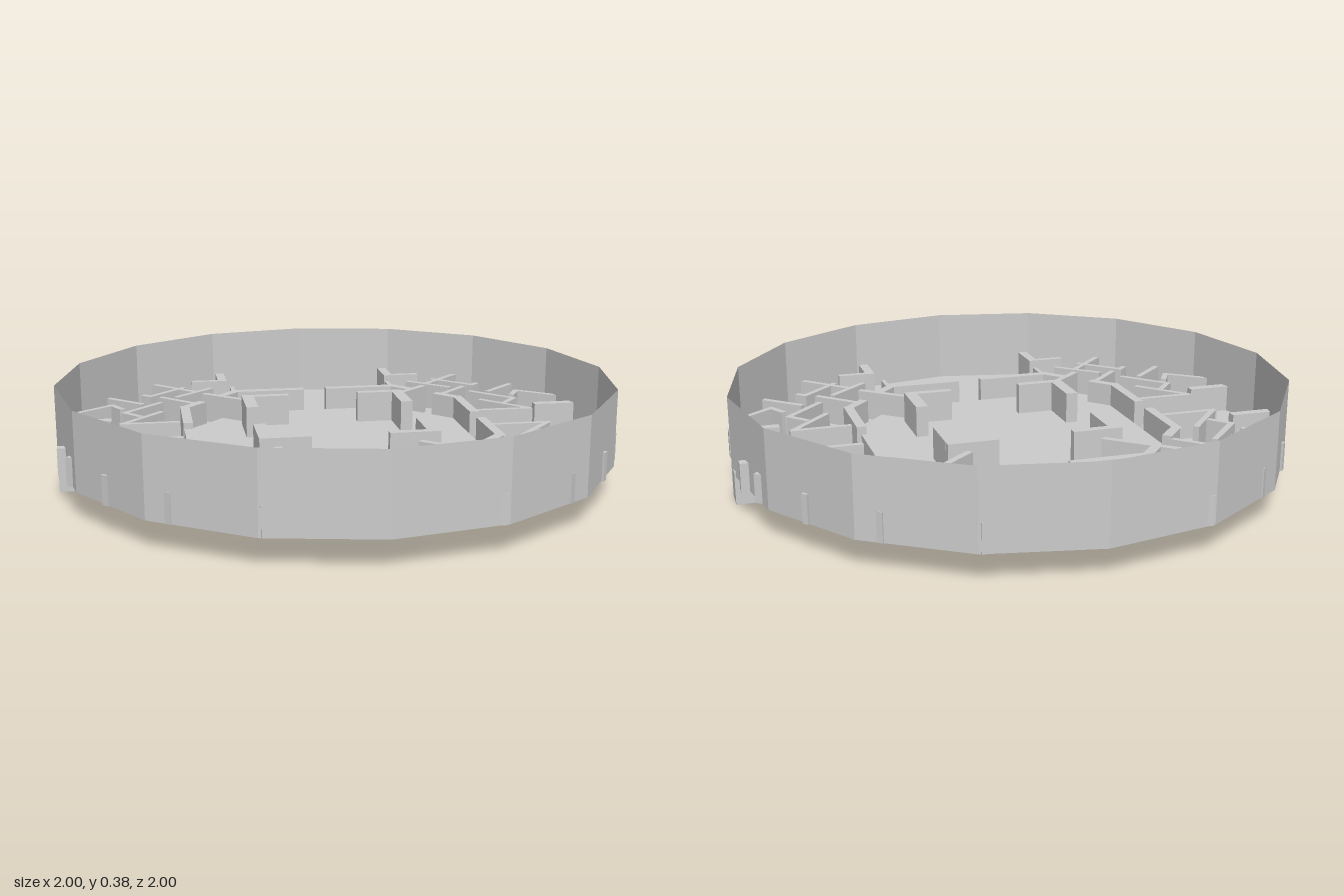
import * as THREE from 'three';

const material = new THREE.MeshStandardMaterial({ color: 0xcccccc, flatShading: true, side: THREE.DoubleSide });
const FLOOR = 0.1, INNER = 0.125, RIM = 0.375;

function add(parent, name, geometry) {
  const mesh = new THREE.Mesh(geometry, material);
  mesh.name = name;
  parent.add(mesh);
  return mesh;
}

// Upright walls along a plan path of [x, z] points
function wall(parent, name, points, thick, y0, y1) {
  for (let i = 0; i < points.length - 1; i++) {
    const [ax, az] = points[i], [bx, bz] = points[i + 1];
    const extra = i < points.length - 2 ? thick / 2 : 0;
    const length = Math.hypot(bx - ax, bz - az);
    const box = new THREE.BoxGeometry(length + extra, y1 - y0, thick);
    box.translate(extra / 2, 0, 0);
    const mesh = add(parent, name, box);
    mesh.position.set((ax + bx) / 2, (y0 + y1) / 2, (az + bz) / 2);
    mesh.rotation.y = -Math.atan2(bz - az, bx - ax);
  }
}

// Octagon with unequal sides: a = half length of front side, b = half length of flank, r = reach
function octagon(r, a, b) {
  return [[a, r], [r, b], [r, -b], [a, -r], [-a, -r], [-r, -b], [-r, b], [-a, r]]
    .map(([x, z]) => new THREE.Vector2(x, z));
}

// Flat sheet in the ground plane
function sheet(shape, y) {
  return new THREE.ShapeGeometry(shape).rotateX(-Math.PI / 2).translate(0, y, 0);
}

// Sloped strip from inner edge (a, b) to outer edge (d, c)
function ramp(parent, inner, outer) {
  const [a, b] = inner, [d, c] = outer;
  const geo = new THREE.BufferGeometry();
  geo.setAttribute('position', new THREE.Float32BufferAttribute([
    a[0], INNER, a[1], b[0], INNER, b[1], c[0], FLOOR, c[1], d[0], FLOOR, d[1]], 3));
  geo.setIndex([0, 2, 1, 0, 3, 2]);
  geo.computeVertexNormals();
  if (geo.attributes.normal.getY(0) < 0) {
    geo.setIndex([0, 1, 2, 0, 2, 3]);
    geo.computeVertexNormals();
  }
  add(parent, 'gateRamp', geo);
}

export function createModel() {
  const model = new THREE.Group();
  model.name = 'arena';

  // Sixteen-sided outer wall
  add(model, 'outerWall', new THREE.CylinderGeometry(1, 1, RIM - FLOOR, 16, 1, true)
    .translate(0, (RIM + FLOOR) / 2, 0));

  // Outer floor with an octagonal opening, and the raised inner floor
  const disc = [];
  for (let i = 0; i < 16; i++) {
    const angle = i * Math.PI / 8;
    disc.push(new THREE.Vector2(Math.cos(angle), Math.sin(angle)));
  }
  const outerFloor = new THREE.Shape(disc);
  outerFloor.holes.push(new THREE.Path(octagon(0.552, 0.325, 0.3)));
  add(model, 'outerFloor', sheet(outerFloor, FLOOR));
  add(model, 'innerFloor', sheet(new THREE.Shape(octagon(0.518, 0.31, 0.285)), INNER));

  // Support bars below the two flanks
  for (const s of [-1, 1]) {
    add(model, 'supportBar', new THREE.BoxGeometry(0.37, 0.12, 0.09)).position.set(s * 0.812, 0.06, 0);
  }

  // Maze walls of one quarter: [thickness, points]
  const maze = [
    [0.036, [[0.356, 0.93], [0.356, 0.775]]],
    [0.025, [[0.34, 0.787], [0.485, 0.787]]],
    [0.016, [[0.325, 0.545], [0.325, 0.665]]],
    [0.022, [[0.64, 0.755], [0.48, 0.595]]],
    [0.022, [[0.41, 0.65], [0.56, 0.51]]],
    [0.022, [[0.52, 0.68], [0.66, 0.54], [0.69, 0.57]]],
    [0.022, [[0.62, 0.52], [0.47, 0.37]]],
    [0.022, [[0.83, 0.54], [0.69, 0.41]]],
    [0.022, [[0.95, 0.30], [0.81, 0.41], [0.77, 0.34]]],
    [0.022, [[0.62, 0.43], [0.76, 0.28], [0.70, 0.21]]],
    [0.022, [[0.56, 0.11], [0.77, 0.11], [0.62, 0.28]]],
    [0.036, [[0.81, 0.18], [0.99, 0.18]]],
  ];

  for (const sx of [-1, 1]) for (const sz of [-1, 1]) {
    const flip = (pts) => pts.map(([x, z]) => [x * sx, z * sz]);
    for (const [thick, pts] of maze) wall(model, 'mazeWall', flip(pts), thick, FLOOR, 0.2);

    // Ring of walls with gates on every side
    wall(model, 'ringWall', flip([[0.045, 0.535], [0.32, 0.535], [0.395, 0.45]]), 0.035, FLOOR, 0.21);
    wall(model, 'ringWall', flip([[0.535, 0.045], [0.535, 0.292], [0.462, 0.374]]), 0.035, FLOOR, 0.21);
    wall(model, 'ringSpur', flip([[0.24, 0.33], [0.45, 0.515]]), 0.025, FLOOR, 0.21);

    // Corner shelters inside the ring
    wall(model, 'shelterWall', flip([[0.135, 0.31], [0.315, 0.31]]), 0.032, FLOOR, 0.24);
    wall(model, 'shelterWall', flip([[0.293, 0.125], [0.293, 0.3]]), 0.045, FLOOR, 0.24);

    // Diagonal gate
    ramp(model, flip([[0.382, 0.437], [0.448, 0.362]]), flip([[0.408, 0.463], [0.476, 0.387]]));
  }

  // Straight gates
  for (const s of [-1, 1]) {
    ramp(model, [[-0.045, s * 0.518], [0.045, s * 0.518]], [[-0.045, s * 0.552], [0.045, s * 0.552]]);
    ramp(model, [[s * 0.518, -0.045], [s * 0.518, 0.045]], [[s * 0.552, -0.045], [s * 0.552, 0.045]]);
  }
  return model;
}
